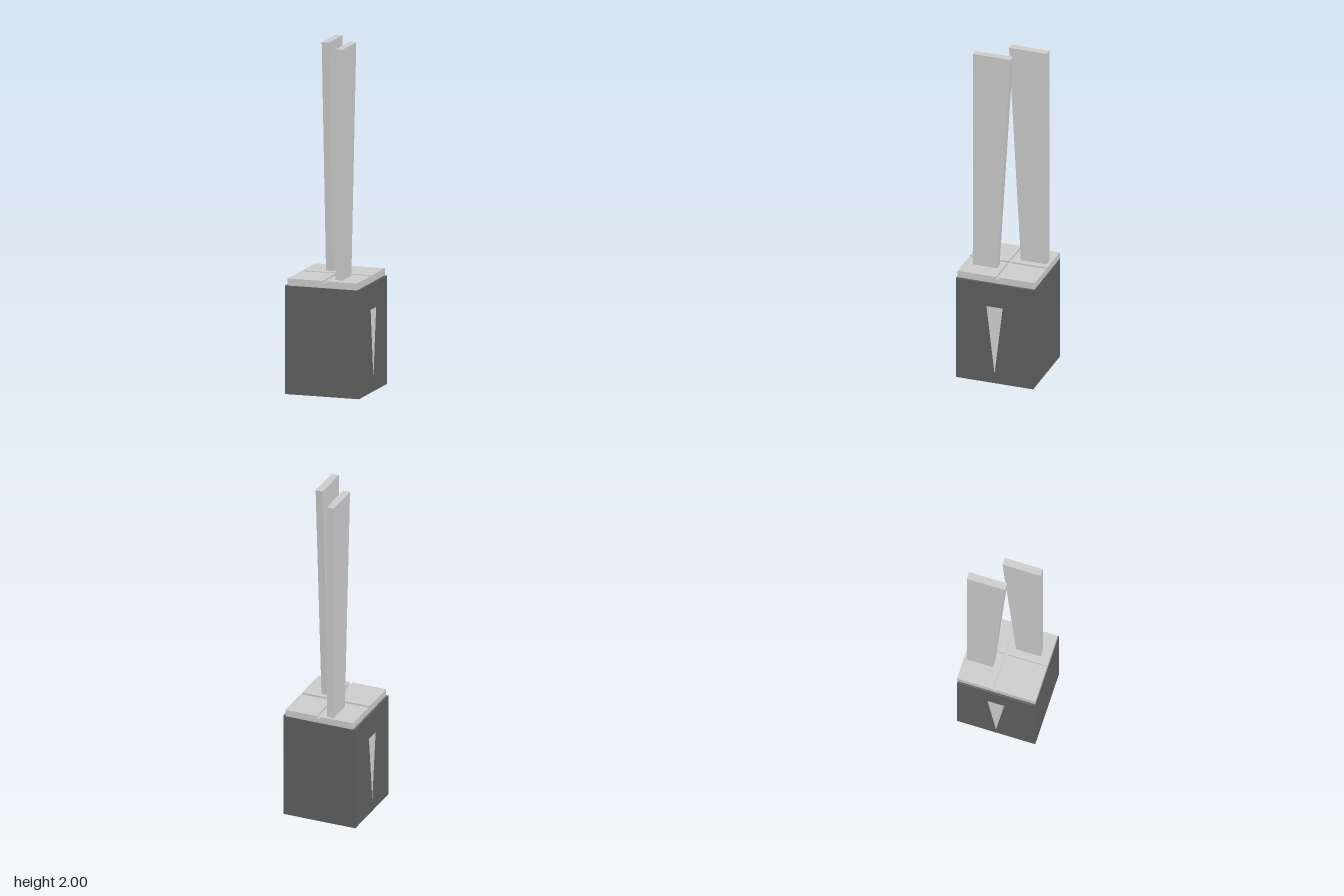
import * as THREE from 'three';

const grey = new THREE.MeshStandardMaterial({ color: 0xcccccc, flatShading: true });
const dark = new THREE.MeshStandardMaterial({ color: 0x606060, flatShading: true });

// Extrudes a [z, y] outline along x, between x0 and x1
function slab(name, outline, x0, x1, material, hole) {
  const toPoints = (list) => list.map(([z, y]) => new THREE.Vector2(z, y));
  const shape = new THREE.Shape(toPoints(outline));
  if (hole) shape.holes.push(new THREE.Path(toPoints(hole)));
  const geometry = new THREE.ExtrudeGeometry(shape, { depth: x1 - x0, bevelEnabled: false });
  geometry.rotateY(-Math.PI / 2).translate(x1, 0, 0);
  const mesh = new THREE.Mesh(geometry, material);
  mesh.name = name;
  return mesh;
}

function box(name, [x0, x1], [y0, y1], [z0, z1], material) {
  const mesh = new THREE.Mesh(new THREE.BoxGeometry(x1 - x0, y1 - y0, z1 - z0), material);
  mesh.position.set((x0 + x1) / 2, (y0 + y1) / 2, (z0 + z1) / 2);
  mesh.name = name;
  return mesh;
}

// V-shaped outline of two sloping walls; a and b are [half width, foot height]
const vee = (top, [aw, ay], [bw, by]) =>
  [[-aw, top], [0, ay], [aw, top], [bw, top], [0, by], [-bw, top]];

export function createModel() {
  const model = new THREE.Group();
  const baseTop = 0.627, deck = 0.667, holeTop = 0.48;

  // Dark podium with a triangular passage from side to side
  model.add(slab('podium',
    [[-0.232, 0], [0.233, 0], [0.233, baseTop], [-0.232, baseTop]], -0.222, 0.222, dark,
    [[-0.05, holeTop], [0, 0.045], [0.05, holeTop]]));
  model.add(slab('passageFrame', vee(holeTop, [0.055, 0.002], [0.049, 0.054]), -0.226, 0.226, dark));
  model.add(slab('passageLining', vee(holeTop, [0.049, 0.054], [0.047, 0.07]), -0.224, 0.224, grey));

  // Roof slab with four tiles divided by a shallow cross-shaped groove
  const roof = new THREE.Group();
  roof.name = 'roof';
  const grooveFloor = 0.655;
  roof.add(box('roofSlab', [-0.21, 0.209], [baseTop, grooveFloor], [-0.236, 0.229], grey));
  for (const xs of [[-0.21, -0.002], [0.016, 0.209]])
    for (const zs of [[-0.236, -0.021], [-0.003, 0.229]])
      roof.add(box('roofTile', xs, [grooveFloor, deck], zs, grey));
  model.add(roof);

  // Two tall towers, each widening upwards on its inner edge
  model.add(slab('frontTower',
    [[0.03, grooveFloor], [0.175, grooveFloor], [0.175, 2], [-0.052, 2]], 0.06, 0.103, grey));
  model.add(slab('backTower',
    [[-0.218, grooveFloor], [-0.063, grooveFloor], [0.009, 2], [-0.218, 2]], -0.083, -0.04, grey));

  return model;
}
